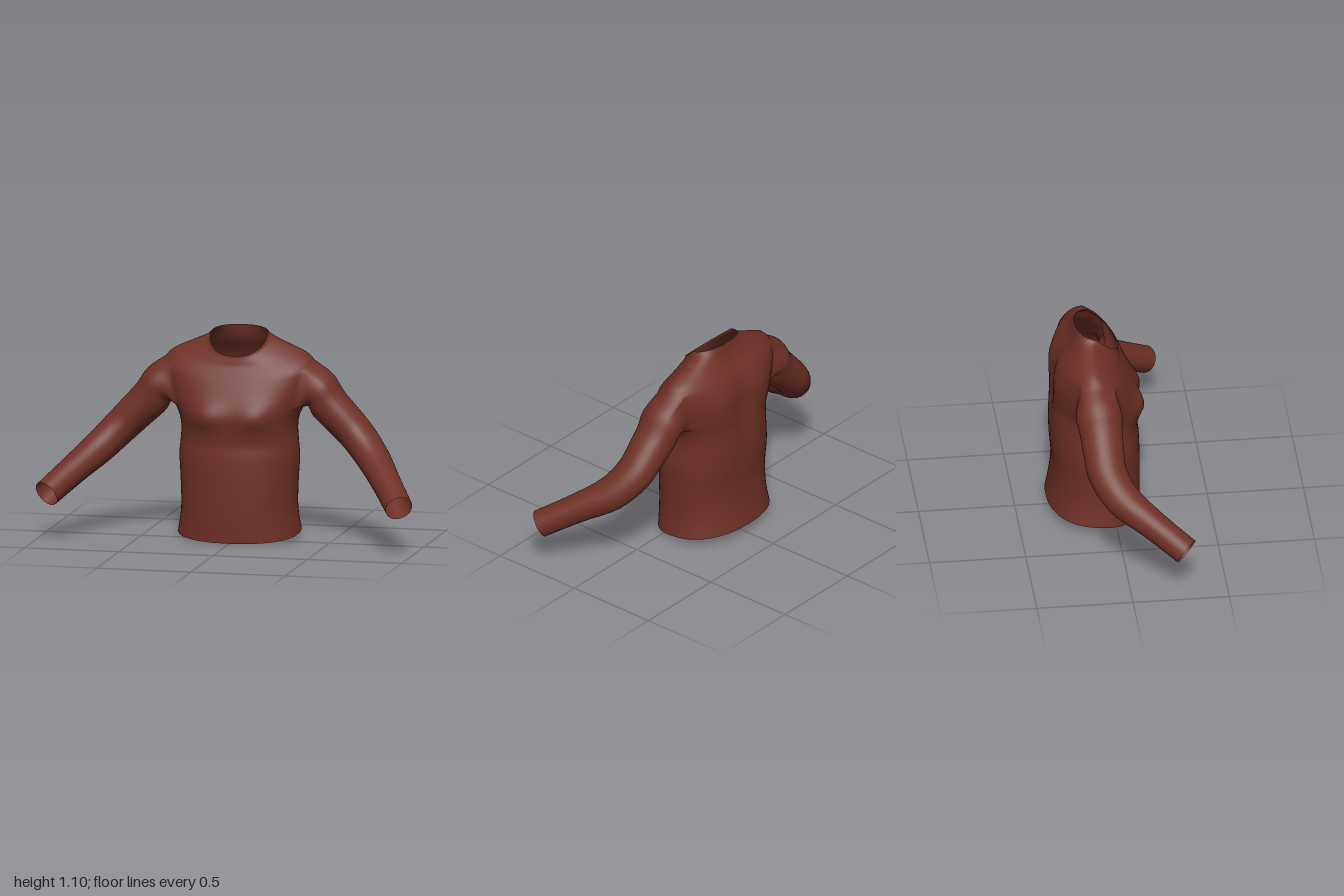
import * as THREE from 'three';

const COLS = 64, SUB = 4;             // columns round the torso, rows between key rings
const HOLE = { from: 7 * SUB, to: 11 * SUB, half: 5 };

// Key rings, hem to neck: side [x, y, z], front [y, z], back [y, z]
const RINGS = [
  [[0.320, 0.035, -0.10], [0.000, 0.140], [0.060, -0.340]],
  [[0.303, 0.150, -0.10], [0.130, 0.145], [0.170, -0.320]],
  [[0.305, 0.290, -0.10], [0.290, 0.145], [0.290, -0.310]],
  [[0.312, 0.440, -0.10], [0.440, 0.140], [0.420, -0.320]],
  [[0.305, 0.520, -0.10], [0.510, 0.133], [0.520, -0.323]],
  [[0.302, 0.580, -0.10], [0.580, 0.138], [0.600, -0.320]],
  [[0.312, 0.640, -0.10], [0.640, 0.145], [0.670, -0.314]],
  [[0.335, 0.690, -0.11], [0.690, 0.137], [0.730, -0.310]],
  [[0.360, 0.760, -0.11], [0.740, 0.118], [0.790, -0.307]],
  [[0.375, 0.820, -0.11], [0.780, 0.102], [0.840, -0.303]],
  [[0.387, 0.880, -0.11], [0.820, 0.084], [0.890, -0.290]],
  [[0.388, 0.935, -0.11], [0.855, 0.067], [0.930, -0.272]],
  [[0.355, 0.970, -0.11], [0.885, 0.052], [0.965, -0.250]],
  [[0.295, 1.000, -0.11], [0.910, 0.040], [1.000, -0.225]],
  [[0.220, 1.030, -0.105], [0.935, 0.034], [1.040, -0.205]],
  [[0.165, 1.055, -0.10], [0.955, 0.030], [1.075, -0.195]],
  [[0.150, 1.070, -0.09], [0.965, 0.030], [1.095, -0.190]],
];

// Sleeve stations, shoulder to cuff: centre, radius front to back, radius up and down
const SLEEVE = [
  [[0.425, 0.780, -0.110], 0.120, 0.105],
  [[0.468, 0.715, -0.105], 0.111, 0.102],
  [[0.545, 0.637, -0.100], 0.106, 0.097],
  [[0.625, 0.556, -0.088], 0.102, 0.092],
  [[0.722, 0.455, -0.020], 0.093, 0.086],
  [[0.830, 0.352, 0.130], 0.076, 0.076],
  [[0.935, 0.249, 0.286], 0.072, 0.071],
];

const bell = (v, mid, width) => Math.exp(-(((v - mid) / width) ** 2));
const power = (v) => Math.sign(v) * Math.abs(v) ** 0.88;

// Rounded torso grid with chest, spine and shoulder blade shaping
function torsoPoints() {
  const curve = (f) => new THREE.CatmullRomCurve3(RINGS.map((r) => new THREE.Vector3(...f(r))));
  const side = curve((r) => r[0]);
  const front = curve((r) => [0, ...r[1]]);
  const back = curve((r) => [0, ...r[2]]);
  const rows = (RINGS.length - 1) * SUB;
  const points = [];
  for (let i = 0; i <= rows; i++) {
    const s = side.getPoint(i / rows), f = front.getPoint(i / rows), b = back.getPoint(i / rows);
    for (let k = 0; k < COLS; k++) {
      const a = (k / COLS) * Math.PI * 2;
      const c = power(Math.cos(a)), end = c > 0 ? f : b;
      const x = s.x * power(Math.sin(a));
      const y = s.y + (end.y - s.y) * Math.abs(c);
      let z = s.z + (end.z - s.z) * Math.abs(c);
      if (c > 0) z += 0.03 * c * bell(Math.abs(x), 0.14, 0.085) * bell(y, 0.655, 0.075);
      else {
        z += 0.018 * bell(x, 0, 0.05) * bell(y, 0.78, 0.2);
        z += 0.014 * c * bell(Math.abs(x), 0.16, 0.09) * bell(y, 0.8, 0.13);
      }
      points.push(new THREE.Vector3(x, y, z));
    }
  }
  return points;
}

// Vertex indices round an armhole, anticlockwise seen from outside
function armholeLoop(mid) {
  const { from, to, half } = HOLE, loop = [];
  const at = (i, k) => i * COLS + k;
  for (let k = mid - half; k < mid + half; k++) loop.push(at(from, k));
  for (let i = from; i < to; i++) loop.push(at(i, mid + half));
  for (let k = mid + half; k > mid - half; k--) loop.push(at(to, k));
  for (let i = to; i > from; i--) loop.push(at(i, mid - half));
  return loop;
}

// Sleeve strands run from the armhole edge through every station ring
function addSleeve(points, mid, mirror) {
  const loop = armholeLoop(mid), n = loop.length;
  const hub = new THREE.Vector3();
  loop.forEach((v) => hub.addScaledVector(points[v], 1 / n));
  const centres = [hub, ...SLEEVE.map(([c]) => new THREE.Vector3(c[0] * mirror, c[1], c[2]))];
  const frames = SLEEVE.map((_, j) => {
    const next = centres[Math.min(j + 2, centres.length - 1)];
    const t = next.clone().sub(centres[j]).normalize();
    const u = new THREE.Vector3(0, 0, 1).addScaledVector(t, -t.z).normalize();
    return { u, v: new THREE.Vector3().crossVectors(t, u) };
  });
  const strands = loop.map((id) => {
    const d = points[id].clone().sub(hub);
    const angle = Math.atan2(d.dot(frames[0].v), d.dot(frames[0].u));
    const path = SLEEVE.map(([, ru, rv], j) => centres[j + 1].clone()
      .addScaledVector(frames[j].u, ru * Math.cos(angle))
      .addScaledVector(frames[j].v, rv * Math.sin(angle)));
    return new THREE.CatmullRomCurve3([points[id], ...path]);
  });
  const steps = SLEEVE.length * 4, index = [];
  let previous = loop;
  for (let s = 1; s <= steps; s++) {
    const ring = strands.map((c) => points.push(c.getPoint(s / steps)) - 1);
    for (let j = 0; j < n; j++) {
      const m = (j + 1) % n;
      index.push(previous[j], previous[m], ring[m], previous[j], ring[m], ring[j]);
    }
    previous = ring;
  }
  return index;
}

// Torso faces, leaving out both armholes
function torsoIndex() {
  const index = [], { from, to, half } = HOLE;
  for (let i = 0; i < (RINGS.length - 1) * SUB; i++) {
    for (let k = 0; k < COLS; k++) {
      const inHole = [COLS / 4, COLS * 3 / 4].some((m) => k >= m - half && k < m + half);
      if (inHole && i >= from && i < to) continue;
      const a = i * COLS + k, b = i * COLS + (k + 1) % COLS;
      index.push(a, b, b + COLS, a, b + COLS, a + COLS);
    }
  }
  return index;
}

export function createModel() {
  const fabric = new THREE.MeshStandardMaterial({ color: 0x6e3026, side: THREE.DoubleSide });
  fabric.name = 'russet fabric';

  const points = torsoPoints();
  const parts = {
    torso: torsoIndex(),
    leftSleeve: addSleeve(points, COLS / 4, 1),
    rightSleeve: addSleeve(points, COLS * 3 / 4, -1),
  };

  // Normals are shared so the sleeves flow smoothly into the torso
  const whole = new THREE.BufferGeometry().setFromPoints(points);
  whole.setIndex(Object.values(parts).flat());
  whole.computeVertexNormals();

  const shirt = new THREE.Group();
  shirt.name = 'longSleevedShirt';
  for (const [name, index] of Object.entries(parts)) {
    const geometry = new THREE.BufferGeometry();
    geometry.setAttribute('position', whole.getAttribute('position'));
    geometry.setAttribute('normal', whole.getAttribute('normal'));
    geometry.setIndex(index);
    const mesh = new THREE.Mesh(geometry, fabric);
    mesh.name = name;
    shirt.add(mesh);
  }
  return shirt;
}
